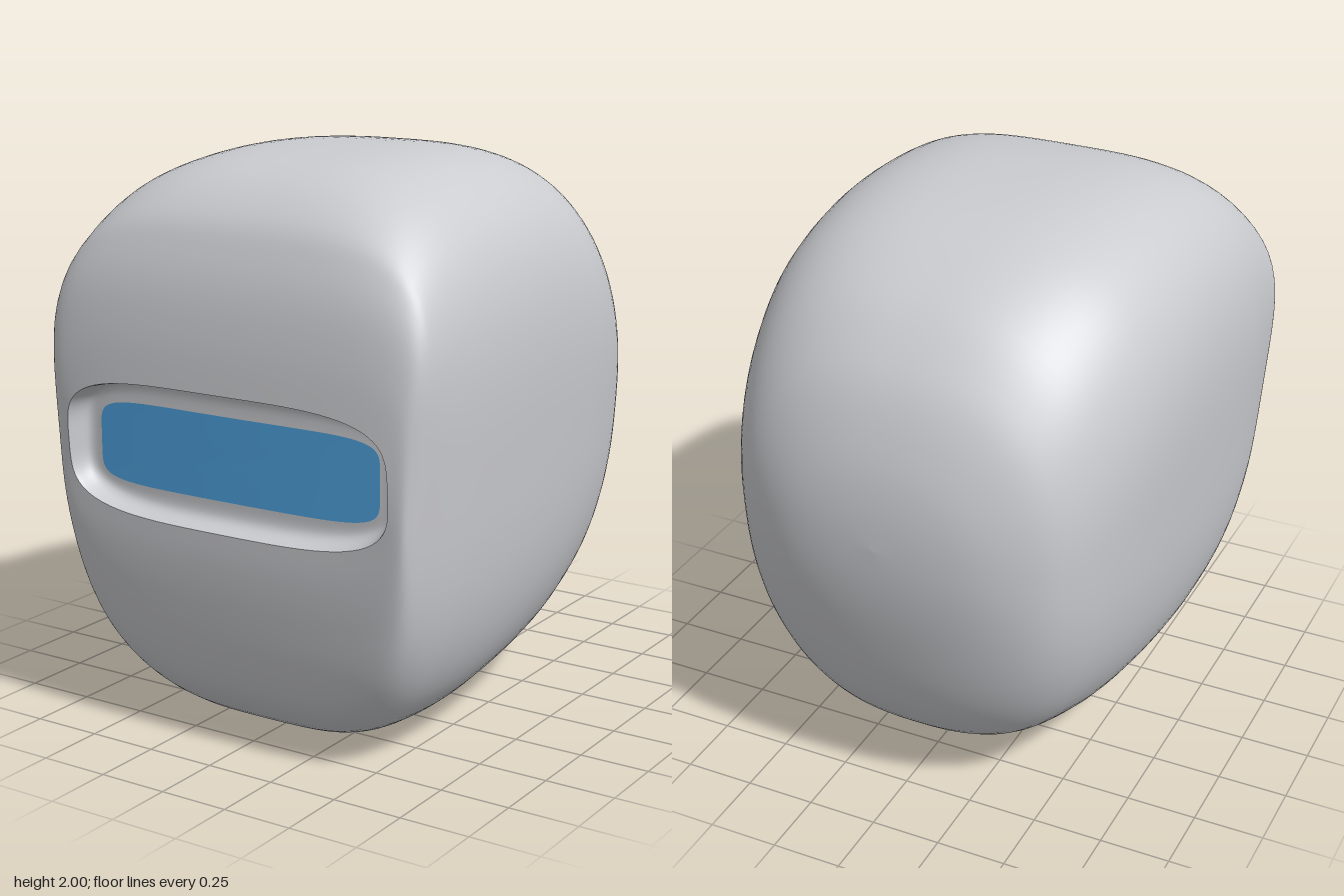
import * as THREE from 'three';

const SEGMENTS = 128;

// Shell sections, back to front: z, half width, top, bottom, squareness, taper, tilt
const SHELL = [
  [-0.942, 0, 1.08, 1.08, 2.1, 0.02, 0],
  [-0.932, 0.2, 1.23, 0.92, 2.15, 0.03, 0],
  [-0.9, 0.375, 1.39, 0.73, 2.2, 0.04, 0],
  [-0.83, 0.53, 1.57, 0.47, 2.3, 0.06, 0],
  [-0.74, 0.618, 1.7, 0.29, 2.45, 0.07, 0],
  [-0.6, 0.682, 1.83, 0.155, 2.65, 0.08, 0],
  [-0.4, 0.732, 1.93, 0.085, 2.85, 0.09, 0],
  [-0.2, 0.757, 1.98, 0.045, 3, 0.09, 0],
  [0.05, 0.772, 2, 0.018, 3.15, 0.09, 0],
  [0.3, 0.778, 1.994, 0, 3.2, 0.09, 0],
  [0.53, 0.775, 1.963, 0.015, 3.25, 0.09, 0],
  [0.68, 0.765, 1.908, 0.06, 3.4, 0.09, 0],
  [0.8, 0.752, 1.81, 0.17, 3.8, 0.09, 0],
  [0.86, 0.74, 1.7, 0.32, 4.5, 0.08, 0],
  [0.9, 0.722, 1.57, 0.52, 5, 0.05, 0.004],
  [0.922, 0.695, 1.41, 0.67, 4.6, 0.02, 0.01],
  [0.93, 0.645, 1.255, 0.78, 3.8, 0, 0.015],
];

// Recess around the visor: rim, steep upper wall, sloping lower ledge, floor
const RECESS = [
  [0.93, 0.645, 1.255, 0.78, 3.8, 0, 0.015],
  [0.915, 0.64, 1.252, 0.784, 3.8, 0, 0.012],
  [0.875, 0.63, 1.246, 0.797, 3.9, 0, 0.006],
  [0.853, 0.617, 1.235, 0.815, 4.1, 0, 0.002],
  [0.845, 0.595, 1.205, 0.84, 4.8, 0, 0],
  [0.845, 0.567, 1.16, 0.87, 6.2, 0, 0],
];

// Visor pane closes the recess floor
const VISOR = [1, 0.75, 0.5, 0.25, 0].map((k) =>
  [0.845, 0.567 * k, 1.015 + 0.145 * k, 1.015 - 0.145 * k, 6.2, 0, 0]);

// Smoothly subdivide a table of sections
function refine(rows, steps) {
  const out = [];
  const at = (i) => rows[Math.min(Math.max(i, 0), rows.length - 1)];
  for (let i = 0; i < rows.length - 1; i++) {
    for (let s = 0; s < steps; s++) {
      const t = s / steps;
      out.push(rows[i].map((b, k) => {
        const a = at(i - 1)[k], c = at(i + 1)[k], d = at(i + 2)[k];
        return b + 0.5 * t * (c - a + t * (2 * a - 5 * b + 4 * c - d + t * (3 * (b - c) + d - a)));
      }));
    }
  }
  out.push(rows[rows.length - 1]);
  return out;
}

// Loft rounded-square rings; the front is bowed gently across its width
function loft(rows) {
  const positions = [], index = [];
  rows.forEach(([z, width, top, bottom, n, taper, tilt], i) => {
    const bow = 0.04 * THREE.MathUtils.smoothstep(z, 0.5, 0.84);
    for (let j = 0; j < SEGMENTS; j++) {
      const angle = (j / SEGMENTS) * Math.PI * 2;
      const c = Math.cos(angle), s = Math.sin(angle);
      const r = (Math.abs(c) ** n + Math.abs(s) ** n) ** (-1 / n);
      const v = s * r;
      const x = c * r * width * (1 - 0.2 * taper + taper * v);
      const y = (top + bottom) / 2 + (v * (top - bottom)) / 2;
      positions.push(x, y, z + tilt * v - bow * x * x);
      if (i < rows.length - 1) {
        const a = i * SEGMENTS + j;
        const b = i * SEGMENTS + ((j + 1) % SEGMENTS);
        index.push(a, b, a + SEGMENTS, b, b + SEGMENTS, a + SEGMENTS);
      }
    }
  });
  const geometry = new THREE.BufferGeometry();
  geometry.setAttribute('position', new THREE.Float32BufferAttribute(positions, 3));
  geometry.setIndex(index);
  geometry.computeVertexNormals();
  return geometry;
}

export function createModel() {
  const group = new THREE.Group();
  group.name = 'helmet';
  const shellGrey = new THREE.MeshStandardMaterial({ color: 0xcbccd0 });
  shellGrey.name = 'shell grey';
  const visorBlue = new THREE.MeshStandardMaterial({ color: 0x4fa3e0 });
  visorBlue.name = 'visor blue';

  const add = (name, geometry, material) => {
    const mesh = new THREE.Mesh(geometry, material);
    mesh.name = name;
    group.add(mesh);
  };
  add('shell', loft(refine(SHELL, 4)), shellGrey);
  add('visorRecess', loft(refine(RECESS, 3)), shellGrey);
  add('visor', loft(VISOR), visorBlue);
  return group;
}
